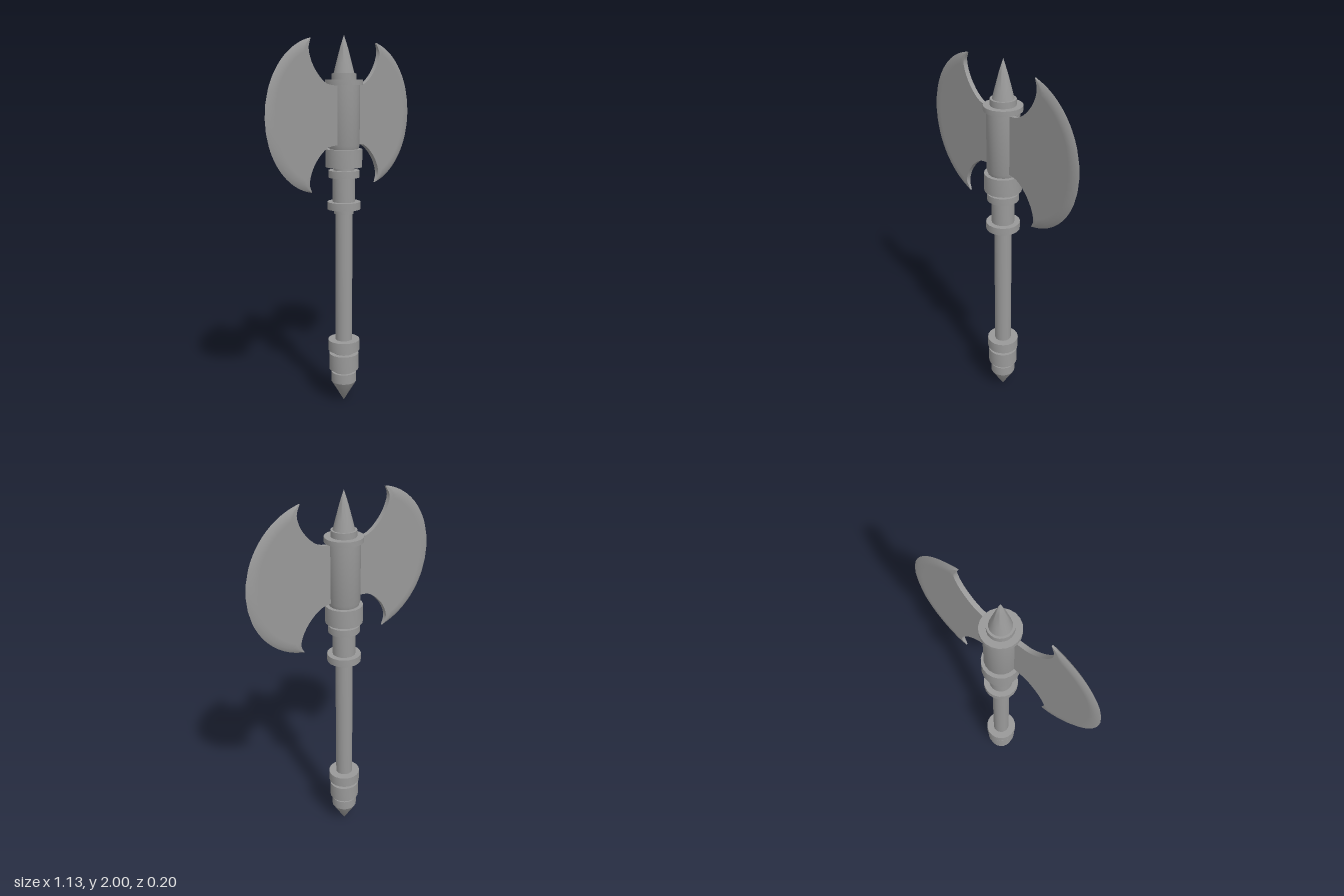
import * as THREE from 'three';
import { toCreasedNormals } from 'three/addons/utils/BufferGeometryUtils.js';

const material = new THREE.MeshStandardMaterial({ color: 0x999999 });
const SIDES = 20;
const MID_Y = 1.595; // height of the blades' line of symmetry

// Turned part from [radius, y] points, listed bottom to top
function turned(name, points, crease = 0.5) {
  const profile = points.map(([r, y]) => new THREE.Vector2(r, y));
  const geometry = toCreasedNormals(new THREE.LatheGeometry(profile, SIDES), crease);
  const mesh = new THREE.Mesh(geometry, material);
  mesh.name = name;
  return mesh;
}

// Closed ring or rod between two heights
const drum = (name, r, y0, y1) => turned(name, [[0, y0], [r, y0], [r, y1], [0, y1]]);

// Open cone shaded smoothly over its point; its base is buried in the next part
const point = (name, points) => turned(name, points, Math.PI);

// One crescent blade on the +x side: rows of cross-sections from top tip to bottom tip
function bladeGeometry() {
  const half = 0.012, arcX = 0.178, arcR = 0.385, tipAngle = 1.37, flatAngle = 0.35;
  const hook = new THREE.CatmullRomCurve3([
    [0.255, 1.97], [0.277, 1.923], [0.258, 1.86], [0.207, 1.796],
    [0.145, 1.755], [0.08, 1.745], [0, 1.745],
  ].map(([x, y]) => new THREE.Vector3(x, y, 0)));
  const steps = 18;
  const rows = []; // [inner x, inner y, angle on the cutting arc]
  for (let i = 0; i <= steps; i++) {
    const p = hook.getPoint(i / steps);
    rows.push([p.x, p.y, tipAngle + (flatAngle - tipAngle) * i / steps]);
  }
  rows.push([0, 1.67, flatAngle / 2]);
  const lower = rows.map(([x, y, a]) => [x, 2 * MID_Y - y, -a]).reverse();
  const all = [...rows, [0, MID_Y, 0], ...lower];

  const positions = [], indices = [];
  all.forEach(([ix, iy, angle], row) => {
    const ox = arcX + arcR * Math.cos(angle);
    const oy = MID_Y + arcR * Math.sin(angle);
    const length = Math.max(Math.hypot(ox - ix, oy - iy), 0.001);
    const h = half * Math.min(1, 0.3 + length * 12); // thins out at the tips
    const bevel = 1 - Math.min(0.4, 0.025 / length);
    const blend = 1 - Math.min(0.6, 0.06 / length); // keeps the shading of the edge near it
    const section = [[0, h], [blend, h], [bevel, h], [1, 0], [bevel, -h], [blend, -h], [0, -h]];
    section.forEach(([t, z]) => positions.push(ix + (ox - ix) * t, iy + (oy - iy) * t, z));
    if (row === 0) return;
    const n = section.length, a = (row - 1) * n, b = row * n;
    for (let j = 0; j < n; j++) {
      const k = (j + 1) % n;
      indices.push(a + j, b + j, b + k, a + j, b + k, a + k);
    }
  });
  const geometry = new THREE.BufferGeometry();
  geometry.setAttribute('position', new THREE.Float32BufferAttribute(positions, 3));
  geometry.setIndex(indices);
  return toCreasedNormals(geometry, 0.65);
}

export function createModel() {
  const model = new THREE.Group();
  model.name = 'doubleAxe';

  // Handle and fittings, turned around one axis
  const handle = new THREE.Group();
  handle.name = 'handle';
  handle.position.x = 0.01;
  handle.add(
    point('pommelTip', [[0, 0], [0.07, 0.12]]),
    drum('pommelBand', 0.07, 0.12, 0.175),
    drum('pommelCore', 0.055, 0.17, 0.31),
    drum('lowerGripRing', 0.082, 0.193, 0.285),
    drum('upperGripRing', 0.087, 0.305, 0.365),
    drum('shaft', 0.046, 0.3, 1.4),
    drum('shaftCollar', 0.053, 1.075, 1.11),
    drum('guardRing', 0.089, 1.1, 1.14),
    drum('neck', 0.06, 1.13, 1.28),
    drum('neckRing', 0.083, 1.27, 1.308),
    drum('neckCore', 0.055, 1.3, 1.34),
    drum('socketRing', 0.097, 1.325, 1.42),
    turned('socket', [[0, 1.41], [0.073, 1.41], [0.083, 1.44], [0.083, 1.755], [0, 1.755]]),
    drum('topCollar', 0.098, 1.75, 1.776),
    drum('spikeBase', 0.065, 1.77, 1.808),
    point('spike', [[0.056, 1.8], [0.041, 1.86], [0.021, 1.935], [0, 2]]),
  );
  model.add(handle);

  // Matching blades, the right one turned half a circle
  const geometry = bladeGeometry();
  ['leftBlade', 'rightBlade'].forEach((name, i) => {
    const blade = new THREE.Mesh(geometry, material);
    blade.name = name;
    blade.position.z = 0.012;
    blade.rotation.y = i * Math.PI;
    model.add(blade);
  });
  return model;
}
